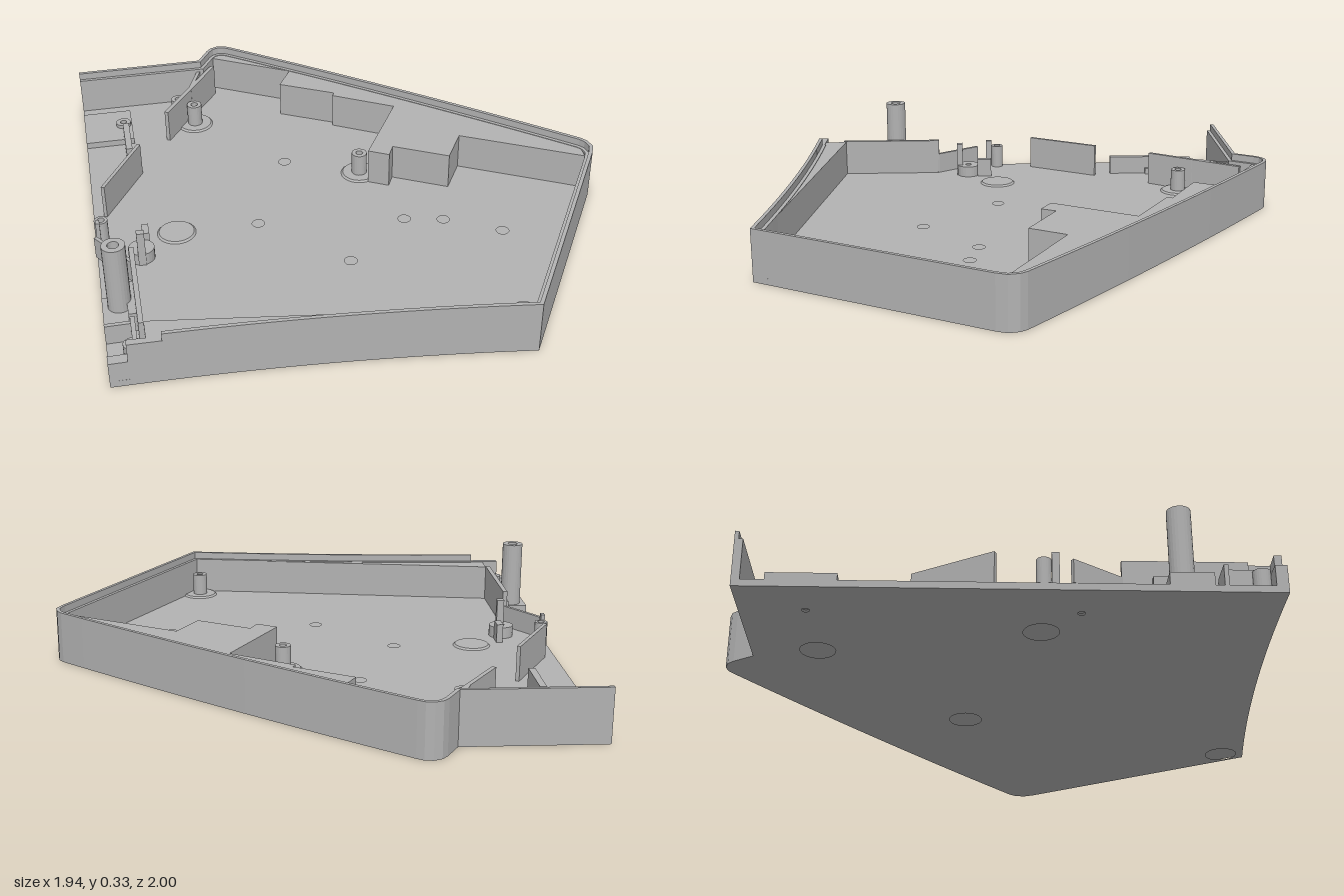
import * as THREE from 'three';

export function createModel() {
  const model = new THREE.Group();
  const grey = new THREE.MeshStandardMaterial({ color: 0xb2b2b2 });
  grey.name = 'grey plastic';

  const add = (name, geometry) => {
    const mesh = new THREE.Mesh(geometry, grey);
    mesh.name = name;
    model.add(mesh);
    return mesh;
  };
  // Vertical prism over plan points [x, z], with optional round holes [x, z, r]
  const prism = (name, pts, y0, y1, holes = []) => {
    const shape = new THREE.Shape(pts.map(([x, z]) => new THREE.Vector2(x, -z)));
    for (const [x, z, r] of holes) {
      const path = new THREE.Path();
      path.absarc(x, -z, r, 0, Math.PI * 2, true);
      shape.holes.push(path);
    }
    const g = new THREE.ExtrudeGeometry(shape, { depth: y1 - y0, bevelEnabled: false, curveSegments: 12 });
    g.rotateX(-Math.PI / 2);
    g.translate(0, y0, 0);
    return add(name, g);
  };
  const box = (name, x0, x1, z0, z1, y0, y1) =>
    prism(name, [[x0, z0], [x1, z0], [x1, z1], [x0, z1]], y0, y1);
  // Straight thin wall between two plan points
  const rib = (name, [ax, az], [bx, bz], t, y0, y1) => {
    const l = Math.hypot(bx - ax, bz - az);
    const nx = -(bz - az) / l * t / 2, nz = (bx - ax) / l * t / 2;
    prism(name, [[ax + nx, az + nz], [bx + nx, bz + nz], [bx - nx, bz - nz], [ax - nx, az - nz]], y0, y1);
  };
  // Hollow screw post
  const tube = (name, x, z, r, hole, y0, y1) => {
    const pts = [[hole, y0], [r, y0], [r, y1], [hole, y1], [hole, y0]];
    const g = new THREE.LatheGeometry(pts.map(p => new THREE.Vector2(...p)), 24).toNonIndexed();
    g.computeVertexNormals();
    g.translate(x, 0, z);
    add(name, g);
  };
  const curve = (a, c, b, n) => new THREE.QuadraticBezierCurve(
    new THREE.Vector2(...a), new THREE.Vector2(...c), new THREE.Vector2(...b)).getPoints(n).map(p => [p.x, p.y]);
  // Move an open path inwards with mitred corners
  const inset = (pts, d) => pts.map(([x, z], i) => {
    const normal = (p, q) => {
      const l = Math.hypot(q[0] - p[0], q[1] - p[1]);
      return [-(q[1] - p[1]) / l, (q[0] - p[0]) / l];
    };
    const a = normal(pts[Math.max(i - 1, 0)], pts[Math.max(i, 1)]);
    const b = normal(pts[Math.min(i, pts.length - 2)], pts[Math.min(i + 1, pts.length - 1)]);
    const k = d / (1 + a[0] * b[0] + a[1] * b[1]);
    return [x + (a[0] + b[0]) * k, z + (a[1] + b[1]) * k];
  });

  // Outline of the tray
  const backEdge = curve([-0.31, -0.98], [0.335, -0.49], [0.94, 0.045], 14);
  const frontEdge = curve([0.46, 0.995], [-0.25, 0.885], [-0.97, 0.88], 16);
  const outline = [
    [-0.97, -0.89], [-0.46, -0.89], [-0.415, -0.965], [-0.395, -0.988], [-0.365, -1], [-0.335, -0.996],
    ...backEdge, [0.958, 0.07], [0.966, 0.11], [0.95, 0.15], ...frontEdge,
  ];

  // Floor in three layers: foot recesses below, blind holes above
  const FLOOR = 0.025, LEDGE = 0.172, TOP = 0.2;
  const through = [[-0.81, -0.67, 0.013], [-0.81, 0.23, 0.013]];
  const feet = [[0.43, 0.9], [0.09, -0.15], [-0.51, -0.66], [-0.67, 0.105]];
  const blind = [[-0.19, -0.29], [-0.36, 0.11], [-0.065, 0.41], [0.19, 0.195], [0.335, 0.23], [0.535, 0.345]];
  prism('floorUnderside', outline, 0, 0.008, [...through, ...feet.map(([x, z]) => [x, z, 0.062])]);
  prism('floorCore', outline, 0.008, 0.016, through);
  prism('floorTop', outline, 0.016, FLOOR, [...through, ...blind.map(([x, z]) => [x, z, 0.024])]);

  // Outer wall with a thinner raised lip
  const wallPath = outline.filter(([x, z]) => !(z > 0.5 && x < -0.84));
  const band = (name, d, y0, y1) => prism(name, [...wallPath, ...inset(wallPath, d).reverse()], y0, y1);
  band('outerWall', 0.028, FLOOR, LEDGE);
  band('wallLip', 0.014, LEDGE, TOP);
  // Lower steps of the wall at the open side
  prism('wallStep', [[-0.905, 0.855], [-0.78, 0.86], [-0.78, 0.884], [-0.905, 0.881]], FLOOR, LEDGE);
  prism('wallNotch', [[-0.97, 0.84], [-0.905, 0.84], [-0.905, 0.88], [-0.97, 0.88]], FLOOR, 0.1);

  // Solid ledge behind the curved front wall
  prism('frontLedge', [[-0.84, 0.77], [0.45, 0.968],
    ...inset(frontEdge, 0.012).filter(p => p[0] < 0.44 && p[0] > -0.84), [-0.84, 0.86]], FLOOR, LEDGE - 0.002);

  // Stepped solid ledge along the long back wall
  prism('backLedge', [
    ...inset(backEdge, 0.012), [0.93, 0.13], [0.49, -0.115], [0.412, 0.02], [0.212, -0.092], [0.185, -0.037],
    [0.11, -0.08], [0.288, -0.39], [0.058, -0.528], [0.068, -0.548], [-0.142, -0.665], [-0.083, -0.77],
    [-0.4, -0.955], [-0.36, -0.985],
  ], FLOOR, LEDGE - 0.002);

  // Slanted ribs and the inner wall on the open side
  rib('slantedRibBack', [-0.4, -0.9], [-0.635, -0.553], 0.016, FLOOR, 0.16);
  rib('cornerRib', [-0.46, -0.88], [-0.52, -0.72], 0.014, FLOOR, 0.16);
  rib('slantedRibMiddle', [-0.767, -0.33], [-0.925, -0.055], 0.014, FLOOR, 0.16);
  rib('diagonalWall', [-0.97, 0.19], [-0.845, 0.37], 0.014, FLOOR, 0.11);
  box('innerWall', -0.858, -0.84, 0.36, 0.78, FLOOR, LEDGE);
  box('innerWallStep', -0.885, -0.858, 0.46, 0.64, FLOOR, 0.1);
  box('sideBracketBack', -0.97, -0.87, 0.675, 0.69, FLOOR, 0.1);
  box('sideBracketWall', -0.882, -0.866, 0.69, 0.84, FLOOR, 0.13);
  box('postBase', -0.97, -0.885, 0.5, 0.645, FLOOR, 0.07);

  // Screw posts with shallow pads
  for (const [x, z] of feet) {
    const g = new THREE.CylinderGeometry(0.066, 0.074, 0.008, 32);
    g.translate(x, FLOOR + 0.003, z);
    add('footPad', g);
  }
  for (const [x, z, y] of [[-0.565, -0.805, 0.07], [-0.51, -0.66, 0.12], [0.09, -0.15, 0.12],
    [0.43, 0.9, 0.12], [-0.945, 0.1, 0.12], [-0.885, 0.815, 0.12]]) {
    tube('screwPost', x, z, y > 0.1 && x < -0.9 ? 0.025 : 0.03, 0.014, FLOOR, y);
  }
  tube('tallPost', -0.91, 0.55, 0.041, 0.02, FLOOR, 0.33);

  // Low mounting pad with guide rib at the back
  prism('mountingPad', [[-0.97, -0.785], [-0.775, -0.785], [-0.775, -0.555], [-0.97, -0.555]],
    FLOOR, 0.05, [[-0.81, -0.67, 0.013]].map(([x, z, r]) => [x, z, r]));
  tube('mountingBoss', -0.81, -0.67, 0.03, 0.013, 0.05, 0.065);
  box('guideRib', -0.815, -0.79, -0.6, -0.4, FLOOR, 0.1);

  // Small clip and guide in the middle of the open side
  tube('clipBoss', -0.81, 0.23, 0.048, 0.013, FLOOR, 0.07);
  box('clipPost', -0.825, -0.797, 0.255, 0.28, FLOOR, 0.165);
  box('clipGuide', -0.8, -0.775, 0.13, 0.19, FLOOR, 0.1);
  box('sideHook', -0.965, -0.95, 0.125, 0.15, FLOOR, 0.14);

  return model;
}
